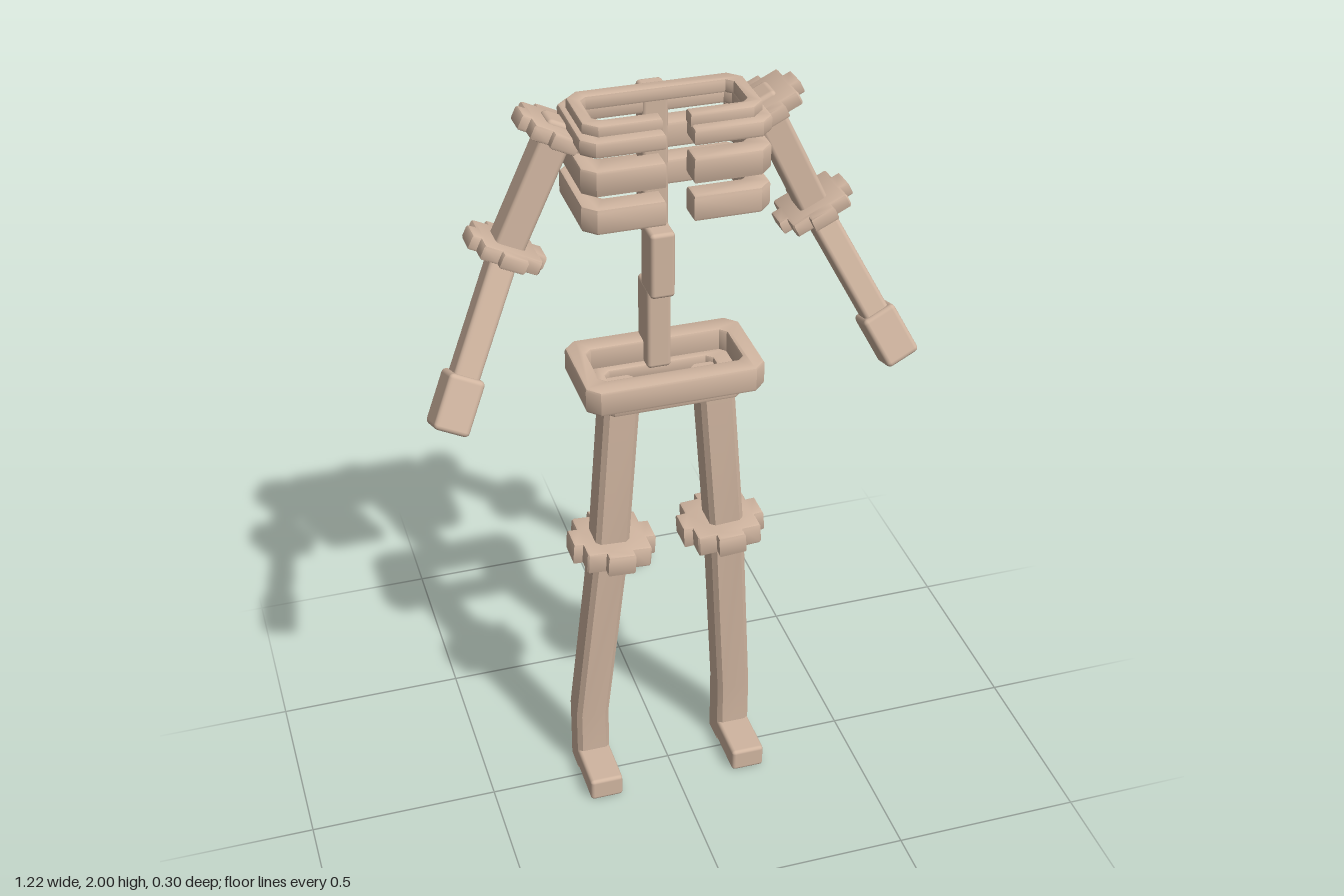
import * as THREE from 'three';
import { toCreasedNormals } from 'three/addons/utils/BufferGeometryUtils.js';
import { RoundedBoxGeometry } from 'three/addons/geometries/RoundedBoxGeometry.js';

const bone = new THREE.MeshStandardMaterial({ color: 0xd0b5a0 });
bone.name = 'bone tan';

function add(parent, name, geometry) {
  const mesh = new THREE.Mesh(geometry, bone);
  mesh.name = name;
  parent.add(mesh);
  return mesh;
}

// Extrudes a plan outline upwards from y0 to y1 with softened edges
function slab(shape, y0, y1, bevel = 0.008) {
  const geo = new THREE.ExtrudeGeometry(shape, {
    depth: y1 - y0 - 2 * bevel, bevelThickness: bevel, bevelSize: bevel,
    bevelOffset: -bevel, bevelSegments: 2,
  });
  geo.rotateX(-Math.PI / 2).translate(0, y0 + bevel, 0);
  return toCreasedNormals(geo, 0.7);
}

// Corner points of a chamfered rectangle, starting and ending at the front middle
function loop(hx, hz, c) {
  return [[hx - c, -hz], [hx, -hz + c], [hx, hz - c], [hx - c, hz],
    [-hx + c, hz], [-hx, hz - c], [-hx, -hz + c], [-hx + c, -hz]];
}

const toShape = (pts) => new THREE.Shape(pts.map(([x, y]) => new THREE.Vector2(x, y)));

// Rectangular ring, closed or with a gap at the front
function ring(hx, hz, tx, tz, gap) {
  const outer = loop(hx, hz, 0.03), inner = loop(hx - tx, hz - tz, 0.015);
  if (gap) {
    return toShape([[gap, -hz], ...outer, [-gap, -hz],
      [-gap, -hz + tz], ...inner.reverse(), [gap, -hz + tz]]);
  }
  const shape = toShape(outer);
  shape.holes.push(toShape(inner));
  return shape;
}

// Stepped disc used as a joint collar, centred on its own axis
function collar(r, thickness) {
  const quarter = [[1, 0.33], [0.78, 0.33], [0.78, 0.74], [0.74, 0.78], [0.33, 0.78], [0.33, 1]];
  const pts = [];
  for (let k = 0; k < 4; k++) {
    const c = Math.round(Math.cos(k * Math.PI / 2)), s = Math.round(Math.sin(k * Math.PI / 2));
    for (const [x, y] of quarter) pts.push([r * (x * c - y * s), r * (x * s + y * c)]);
  }
  return slab(toShape(pts), -thickness / 2, thickness / 2, 0.007);
}

// Lofts level square sections with cut corners through a list of centres
function loft(centres, half) {
  const plan = loop(half, half, 0.012), n = plan.length, pos = [], idx = [];
  for (const [x, y, z] of centres) for (const [px, py] of plan) pos.push(x + px, y, z - py);
  for (let i = 0; i < centres.length - 1; i++) {
    for (let j = 0; j < n; j++) {
      const a = i * n + j, b = i * n + (j + 1) % n;
      idx.push(a, b, b + n, a, b + n, a + n);
    }
  }
  const top = (centres.length - 1) * n;
  for (let j = 1; j < n - 1; j++) idx.push(0, j + 1, j, top, top + j, top + j + 1);
  const geo = new THREE.BufferGeometry();
  geo.setAttribute('position', new THREE.Float32BufferAttribute(pos, 3));
  geo.setIndex(idx);
  return toCreasedNormals(geo, 0.6);
}

const UP = new THREE.Vector3(0, 1, 0);
const turnTo = (mesh, from, to) =>
  mesh.quaternion.setFromUnitVectors(UP, from.clone().sub(to).normalize());

// Square bar between two points
function bar(parent, name, a, b, width, depth = width) {
  const geo = new RoundedBoxGeometry(width, a.distanceTo(b), depth, 2, 0.012);
  const mesh = add(parent, name, geo);
  mesh.position.copy(a).add(b).multiplyScalar(0.5);
  turnTo(mesh, a, b);
}

function box(parent, name, x, y0, y1, z0, z1, width) {
  const geo = new RoundedBoxGeometry(width, y1 - y0, z1 - z0, 2, 0.01);
  add(parent, name, geo).position.set(x, (y0 + y1) / 2, (z0 + z1) / 2);
}

export function createModel() {
  const model = new THREE.Group();
  model.name = 'figure';

  // Torso: open ribs, closed pelvis, stepped spine
  const torso = new THREE.Group();
  torso.name = 'torso';
  torso.position.set(-0.009, 0, -0.003);
  model.add(torso);
  const gap = 0.033;
  const rib = ring(0.226, 0.129, 0.045, 0.06, gap);
  const rim = ring(0.212, 0.1, 0.03, 0.038, gap);
  for (const [y0, y1] of [[1.745, 1.81], [1.84, 1.905], [1.935, 1.975]]) {
    add(torso, 'rib', slab(rib, y0, y1));
  }
  add(torso, 'collarRim', slab(rim, 1.965, 2.0, 0.006));
  add(torso, 'pelvis', slab(ring(0.226, 0.129, 0.045, 0.055), 1.255, 1.323));
  add(torso, 'pelvisRim', slab(ring(0.185, 0.1, 0.045, 0.045), 1.228, 1.265, 0.006));
  box(torso, 'upperSpine', 0, 1.62, 1.998, -0.129, -0.065, 0.064);
  box(torso, 'middleSpine', 0, 1.475, 1.65, -0.095, -0.005, 0.062);
  box(torso, 'lowerSpine', 0, 1.26, 1.488, -0.127, -0.038, 0.062);

  for (const s of [1, -1]) {
    const side = s > 0 ? 'left' : 'right';

    // Leg: shaft, knee collar and foot
    const leg = new THREE.Group();
    leg.name = side + 'Leg';
    leg.position.x = -0.004;
    model.add(leg);
    add(leg, 'legShaft', loft([
      [s * 0.203, 0, -0.062], [s * 0.203, 0.19, -0.062],
      [s * 0.157, 0.76, -0.004], [s * 0.12, 1.25, -0.004],
    ], 0.045));
    const knee = add(leg, 'knee', collar(0.109, 0.06));
    knee.position.set(s * 0.148, 0.778, -0.006);
    knee.rotation.z = s * 0.06;
    box(leg, 'foot', s * 0.203, 0, 0.066, -0.106, 0.112, 0.09);

    // Arm: shoulder and elbow collars, two bars and a block hand
    const arm = new THREE.Group();
    arm.name = side + 'Arm';
    arm.position.x = -0.004;
    model.add(arm);
    const root = new THREE.Vector3(s * 0.235, 1.96, -0.055);
    const shoulder = new THREE.Vector3(s * 0.25, 1.935, -0.053);
    const elbow = new THREE.Vector3(s * 0.381, 1.657, -0.043);
    const wrist = new THREE.Vector3(s * 0.514, 1.395, 0.06);
    const tip = new THREE.Vector3(s * 0.573, 1.278, 0.106);
    bar(arm, 'upperArm', root, elbow, 0.075);
    bar(arm, 'forearm', elbow.clone().lerp(root, 0.05), wrist.clone().lerp(tip, 0.2), 0.066);
    bar(arm, 'hand', wrist, tip, 0.09);
    for (const [name, at] of [['shoulder', shoulder], ['elbow', elbow]]) {
      const disc = add(arm, name, collar(0.096, 0.038));
      disc.position.copy(at);
      turnTo(disc, root, elbow);
    }
  }
  return model;
}
